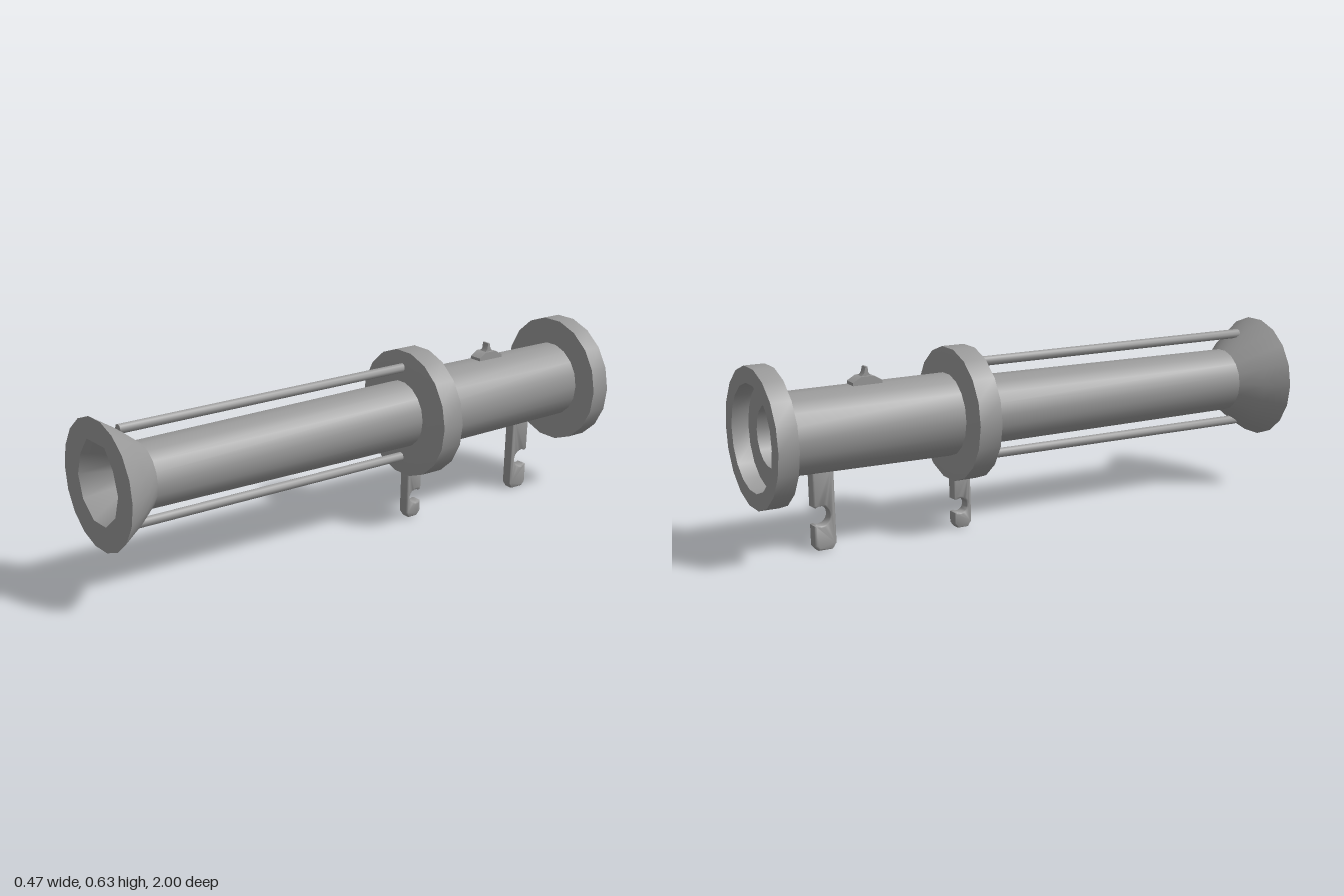
import * as THREE from 'three';
import { toCreasedNormals } from 'three/addons/utils/BufferGeometryUtils.js';

const AXIS_Y = 0.4;
const material = new THREE.MeshStandardMaterial({ color: 0x999999 });

// Widens the upper and lower corners of the ten-sided mouth
const mouthCorner = (x, y) => {
  if (y > 0.1) return [x * 1.42, y * 1.12];
  return y < -0.1 ? [x, y * 1.05] : [x, y];
};

export function createModel() {
  const model = new THREE.Group();
  model.name = 'launcherTube';

  const add = (name, geometry, crease = 0.7) => {
    const mesh = new THREE.Mesh(toCreasedNormals(geometry, crease), material);
    mesh.name = name;
    model.add(mesh);
    return mesh;
  };

  // Turned shape along z: profile of [radius, z], outer side running towards +z
  const lathe = (profile, sides = 18) => {
    const points = profile.map(([r, z]) => new THREE.Vector2(r, z));
    return new THREE.LatheGeometry(points, sides, Math.PI / 2).rotateX(Math.PI / 2);
  };
  const turned = (name, profile, sides) => {
    add(name, lathe(profile, sides)).position.y = AXIS_Y;
  };

  // Side profile in (-z, y), extruded across x
  const sideExtrude = (name, shape, width, bevel) => {
    const geometry = new THREE.ExtrudeGeometry(shape, {
      depth: width - 2 * bevel, curveSegments: 8, bevelEnabled: bevel > 0,
      bevelSize: bevel, bevelThickness: bevel, bevelOffset: -bevel, bevelSegments: 3,
    });
    geometry.translate(0, 0, -width / 2 + bevel);
    geometry.rotateY(Math.PI / 2);
    return add(name, geometry, 0.8);
  };

  // Main tubes
  turned('frontTube', [[0.12, -0.22], [0.113, 0.86]]);
  turned('rearTube', [[0.138, -0.935], [0.142, -0.29]]);

  // Flared muzzle, with a flat rim round a ten-sided mouth
  turned('muzzleFlare', [[0.113, 0.85], [0.17, 0.922], [0.22, 1]]);
  const funnel = lathe([[0.13, 1], [0.07, 0.85]], 10);
  const corners = funnel.attributes.position;
  for (let i = 0; i < corners.count; i++) {
    corners.setXY(i, ...mouthCorner(corners.getX(i), corners.getY(i)));
  }
  add('muzzleFunnel', funnel).position.y = AXIS_Y;
  turned('bore', [[0.07, 0.85], [0.108, -0.942]], 10);

  const polygon = (r, n) => Array.from({ length: n }, (_, i) => {
    const a = (i / n) * Math.PI * 2;
    return new THREE.Vector2(r * Math.cos(a), r * Math.sin(a));
  });
  const rim = new THREE.Shape(polygon(0.22, 18));
  rim.holes.push(new THREE.Path(
    polygon(0.13, 10).map((p) => new THREE.Vector2(...mouthCorner(p.x, p.y)))));
  add('muzzleRim', new THREE.ShapeGeometry(rim)).position.set(0, AXIS_Y, 1);

  // Middle collar, faces slightly raised towards the tube
  turned('middleCollar', [[0.11, -0.303], [0.165, -0.303], [0.23, -0.297],
    [0.23, -0.215], [0.165, -0.207], [0.11, -0.207]]);

  // Rear ring with a stepped recess
  turned('rearRing', [[0.103, -0.942], [0.178, -0.942], [0.178, -1], [0.233, -1],
    [0.233, -0.93], [0.13, -0.93]]);

  // Guide rods above and below the front tube
  for (const [name, offset] of [['upperRod', 0.168], ['lowerRod', -0.161]]) {
    const rod = new THREE.CylinderGeometry(0.017, 0.017, 1.13, 8);
    rod.rotateX(Math.PI / 2);
    add(name, rod, 0.9).position.set(0, AXIS_Y + offset, 0.355);
  }

  // Carrying hooks, open to the rear and leaning a little to one side
  const hook = (name, front, back, top, holeU, holeY, r) => {
    const shape = new THREE.Shape();
    shape.moveTo(front, top);
    shape.lineTo(front, 0.02);
    shape.lineTo(front + 0.014, 0);
    shape.lineTo(back - 0.014, 0);
    shape.lineTo(back, 0.016);
    shape.lineTo(back, holeY - r * 0.95);
    shape.absarc(holeU, holeY, r, -1, 1, true);
    shape.lineTo(back, holeY + r);
    shape.lineTo(back, top);
    const mesh = sideExtrude(name, shape, 0.043, 0.008);
    mesh.rotation.z = -0.04;
    mesh.position.x = -0.009;
  };
  hook('frontHook', 0.225, 0.29, 0.2, 0.266, 0.079, 0.024);
  hook('rearHook', 0.728, 0.806, 0.29, 0.78, 0.117, 0.032);

  // Small sight on top of the rear tube
  const sightPart = (name, outline, width) => sideExtrude(name,
    new THREE.Shape(outline.map(([u, y]) => new THREE.Vector2(u, y))), width, 0);
  sightPart('sightBase', [[0.55, 0.53], [0.655, 0.53], [0.655, 0.548], [0.625, 0.565],
    [0.58, 0.565], [0.55, 0.548]], 0.05);
  sightPart('sightPost', [[0.582, 0.56], [0.625, 0.56], [0.61, 0.574], [0.605, 0.595],
    [0.598, 0.595], [0.595, 0.574]], 0.028);

  return model;
}
